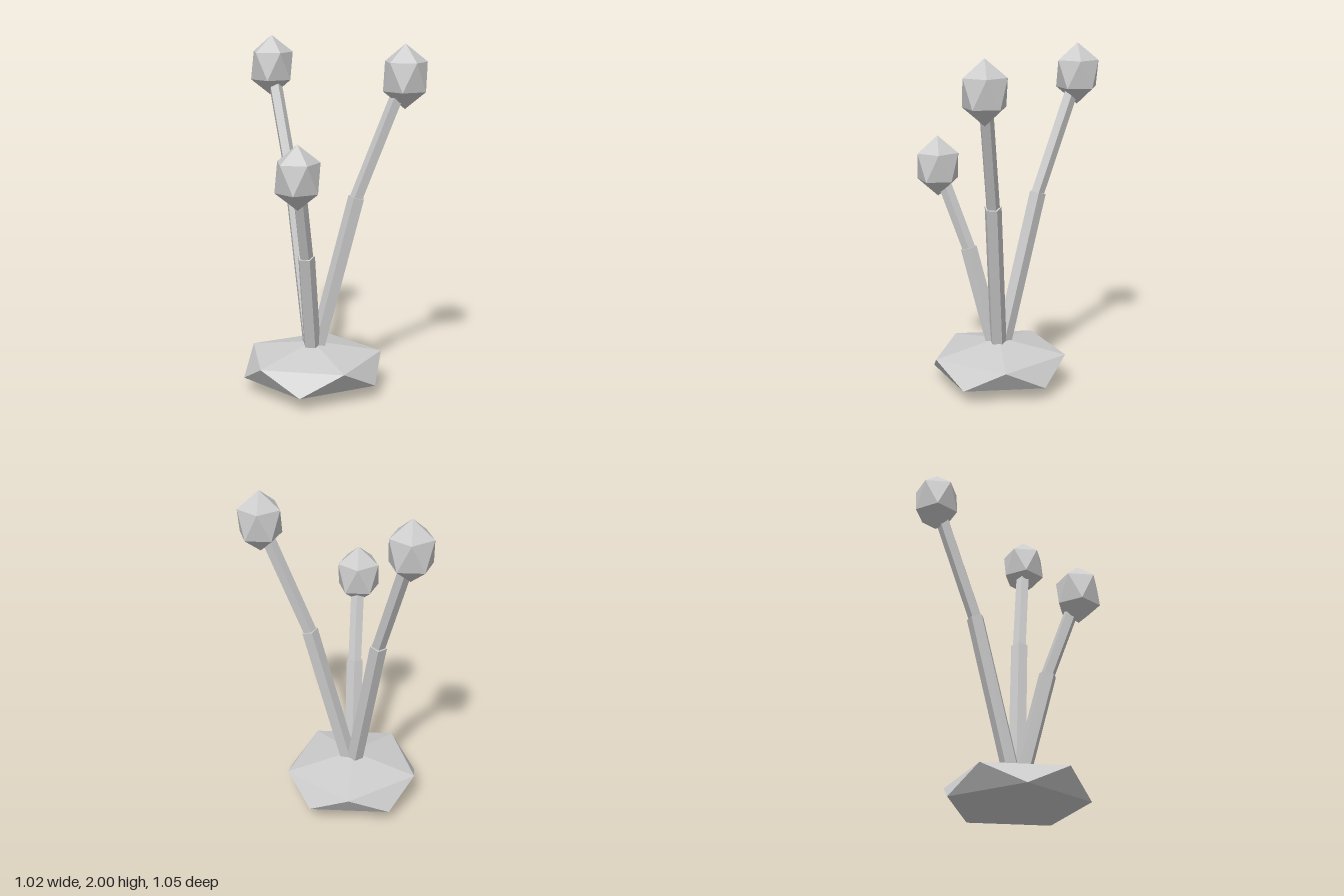
import * as THREE from 'three';

export function createModel() {
  const model = new THREE.Group();
  const grey = new THREE.MeshStandardMaterial({ color: 0xcccccc, flatShading: true });
  grey.name = 'light grey';

  // Icosahedron standing on a corner, with an upper-ring corner towards +x
  function gem(name, center, radius, halfHeight) {
    const g = new THREE.IcosahedronGeometry(1, 0);
    g.rotateX(-Math.atan((1 + Math.sqrt(5)) / 2));
    g.rotateY(Math.PI / 2);
    g.scale(radius, halfHeight, radius);
    g.computeVertexNormals();
    const mesh = new THREE.Mesh(g, grey);
    mesh.name = name;
    mesh.position.copy(center);
    return mesh;
  }

  // Five-sided rod between two points, one edge turned away from its lean
  function rod(name, a, b, radius) {
    const d = b.clone().sub(a);
    const g = new THREE.CylinderGeometry(radius, radius, d.length(), 5, 1, false, Math.PI);
    const mesh = new THREE.Mesh(g, grey);
    mesh.name = name;
    mesh.position.copy(a).add(b).multiplyScalar(0.5);
    mesh.rotation.order = 'YXZ';
    mesh.rotation.y = Math.atan2(d.x, d.z);
    mesh.rotation.x = Math.atan2(Math.hypot(d.x, d.z), d.y);
    return mesh;
  }

  // Flattened base
  const root = new THREE.Vector3(-0.11, 0.14, 0.07);
  model.add(gem('base', root, 0.447, 0.14));

  // Three bent stalks, each with a bud on its tip
  const stalks = [
    { name: 'backStalk', bend: [-0.192, 1.14, -0.168], tip: [-0.285, 1.822, -0.41] },
    { name: 'leftStalk', bend: [0.135, 1.13, 0.126], tip: [0.387, 1.807, 0.19] },
    { name: 'frontStalk', bend: [-0.169, 0.825, 0.24], tip: [-0.233, 1.303, 0.41] },
  ];
  for (const s of stalks) {
    const bend = new THREE.Vector3(...s.bend);
    const tip = new THREE.Vector3(...s.tip);
    const stalk = new THREE.Group();
    stalk.name = s.name;
    const inside = bend.clone().lerp(tip, -0.04);
    stalk.add(rod('lowerStem', root, bend, 0.05));
    stalk.add(rod('upperStem', inside, tip, 0.04));
    stalk.add(gem('bud', tip, 0.138, 0.178));
    model.add(stalk);
  }
  return model;
}
